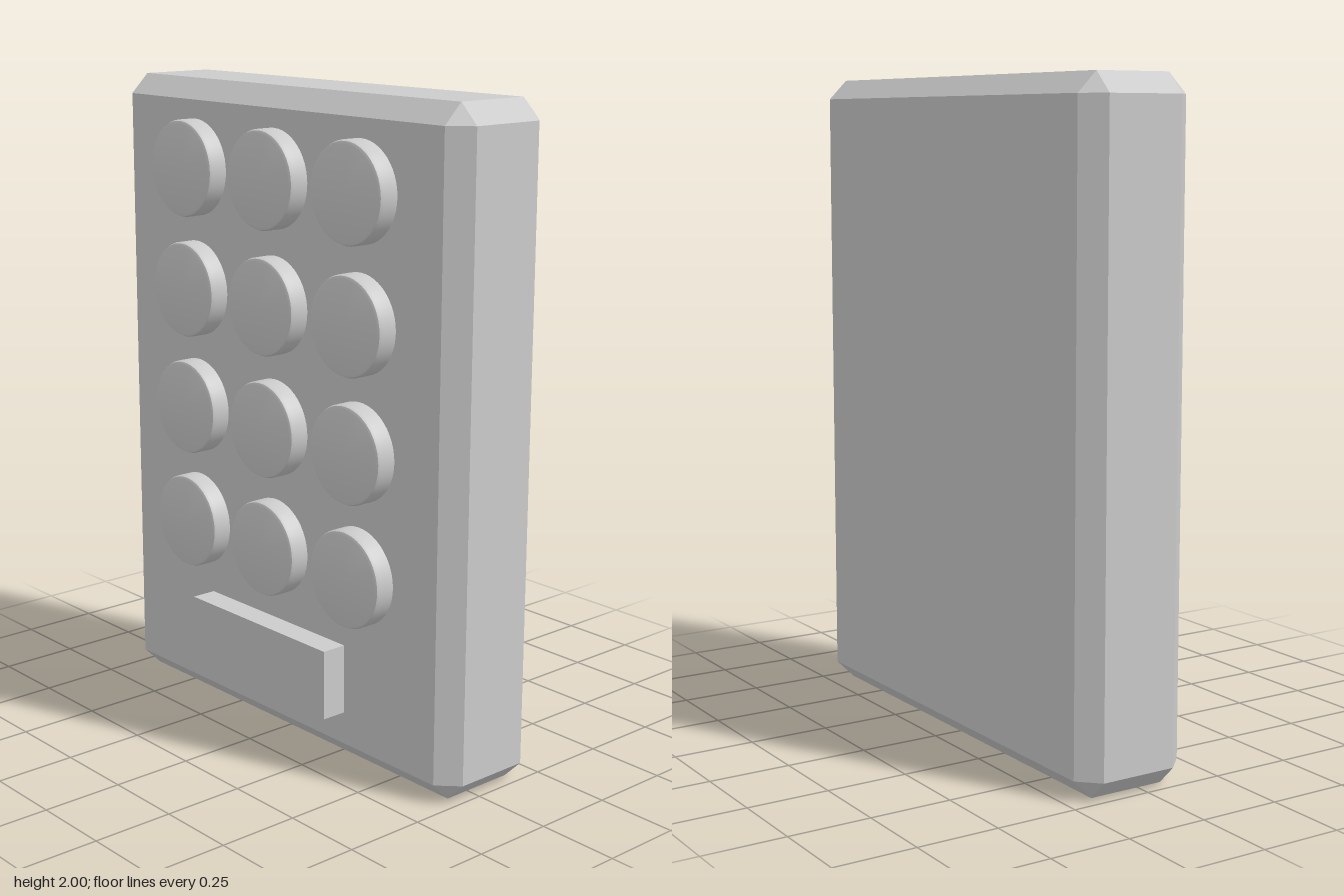
import * as THREE from 'three';
import { ConvexGeometry } from 'three/addons/geometries/ConvexGeometry.js';
import { toCreasedNormals } from 'three/addons/utils/BufferGeometryUtils.js';

const material = new THREE.MeshStandardMaterial({ color: 0xcccccc });

function addPart(parent, name, geometry, x, y, z) {
  const mesh = new THREE.Mesh(geometry, material);
  mesh.name = name;
  mesh.position.set(x, y, z);
  parent.add(mesh);
  return mesh;
}

// Box with flat chamfers on every edge and triangular corners
function chamferedBox(width, height, depth, c) {
  const points = [];
  const [w, h, d] = [width / 2, height / 2, depth / 2];
  for (const sx of [-1, 1]) for (const sy of [-1, 1]) for (const sz of [-1, 1]) {
    points.push(
      new THREE.Vector3(sx * w, sy * (h - c), sz * (d - c)),
      new THREE.Vector3(sx * (w - c), sy * h, sz * (d - c)),
      new THREE.Vector3(sx * (w - c), sy * (h - c), sz * d)
    );
  }
  return new ConvexGeometry(points);
}

// Round key with a small bevelled rim, facing +z
function keyGeometry(radius, height, bevel) {
  const profile = [
    [0, 0], [radius, 0], [radius, height - bevel],
    [radius - bevel * 0.3, height - bevel * 0.3],
    [radius - bevel, height], [0, height]
  ].map(([r, y]) => new THREE.Vector2(r, y));
  const lathe = new THREE.LatheGeometry(profile, 48).rotateX(Math.PI / 2);
  return toCreasedNormals(lathe, Math.PI / 5);
}

export function createModel() {
  const group = new THREE.Group();
  group.name = 'keypad';

  // Housing
  addPart(group, 'housing', chamferedBox(1.52, 2, 0.36, 0.06), 0, 1, -0.04);

  // Keys, three columns by four rows
  const keys = new THREE.Group();
  keys.name = 'keys';
  group.add(keys);
  const key = keyGeometry(0.148, 0.07, 0.012);
  for (let row = 0; row < 4; row++) {
    for (let col = 0; col < 3; col++) {
      addPart(keys, `key${row * 3 + col + 1}`, key, (col - 1) * 0.375, 1.735 - row * 0.375, 0.132);
    }
  }

  // Wide bar below the keys
  addPart(group, 'barButton', new THREE.BoxGeometry(0.63, 0.215, 0.09), 0, 0.267, 0.175);

  return group;
}
